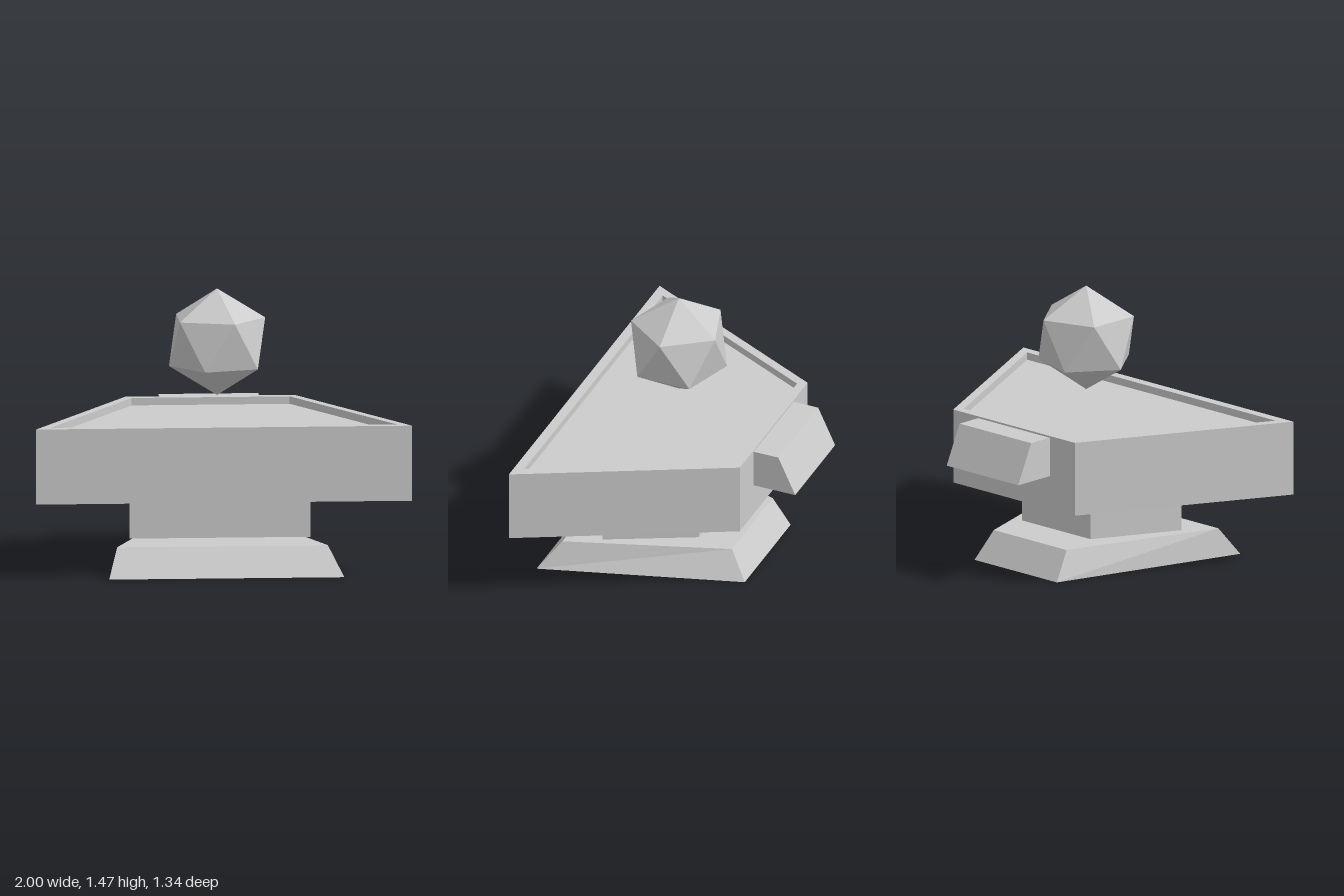
import * as THREE from 'three';

const material = new THREE.MeshStandardMaterial({ color: 0xcccccc, flatShading: true });

// One horizontal four-cornered section: front and back edges at zf and zb,
// with half widths wf and wb, shifted sideways by cx.
const section = (y, zf, wf, zb, wb, cx = 0) => [
  [cx - wf, y, zf], [cx + wf, y, zf], [cx + wb, y, zb], [cx - wb, y, zb],
];

// Joins the sections in order and closes both ends.
function loft(name, sections) {
  const positions = [];
  const quad = (a, b, c, d) => positions.push(...a, ...b, ...c, ...a, ...c, ...d);
  for (let s = 0; s < sections.length - 1; s++) {
    const low = sections[s], high = sections[s + 1];
    for (let i = 0; i < 4; i++) {
      const j = (i + 1) % 4;
      quad(low[i], low[j], high[j], high[i]);
    }
  }
  quad(...[...sections[0]].reverse());
  quad(...sections[sections.length - 1]);
  const geometry = new THREE.BufferGeometry();
  geometry.setAttribute('position', new THREE.Float32BufferAttribute(positions, 3));
  geometry.computeVertexNormals();
  const mesh = new THREE.Mesh(geometry, material);
  mesh.name = name;
  return mesh;
}

export function createModel() {
  const model = new THREE.Group();
  model.name = 'pedestalTray';

  // Sloped foot, its bottom slightly off centre
  model.add(loft('base', [
    section(0, 0.665, 0.625, -0.4, 0.305, 0.015),
    section(0.155, 0.55, 0.56, -0.305, 0.27),
  ]));

  // Neck between foot and tray
  model.add(loft('neck', [
    section(0.17, 0.353, 0.48, -0.107, 0.255),
    section(0.407, 0.353, 0.48, -0.107, 0.255),
  ]));

  // Tray: outer wall, rim, shallow recess
  model.add(loft('tray', [
    section(0.407, 0.668, 1, -0.428, 0.45),
    section(0.81, 0.668, 1, -0.428, 0.45),
    section(0.81, 0.615, 0.92, -0.38, 0.42),
    section(0.77, 0.615, 0.92, -0.38, 0.42),
  ]));

  // Wedge on the back of the tray
  model.add(loft('backBlock', [
    section(0.588, -0.428, 0.265, -0.668, 0.265),
    section(0.8, -0.428, 0.265, -0.57, 0.265),
  ]));

  // Floating crystal, turned so that one corner points straight up
  const crystalGeometry = new THREE.IcosahedronGeometry(0.286, 0);
  crystalGeometry.rotateZ(-Math.atan(2 / (1 + Math.sqrt(5))));
  const crystal = new THREE.Mesh(crystalGeometry, material);
  crystal.name = 'crystal';
  crystal.position.set(0, 1.186, 0.12);
  model.add(crystal);

  return model;
}
